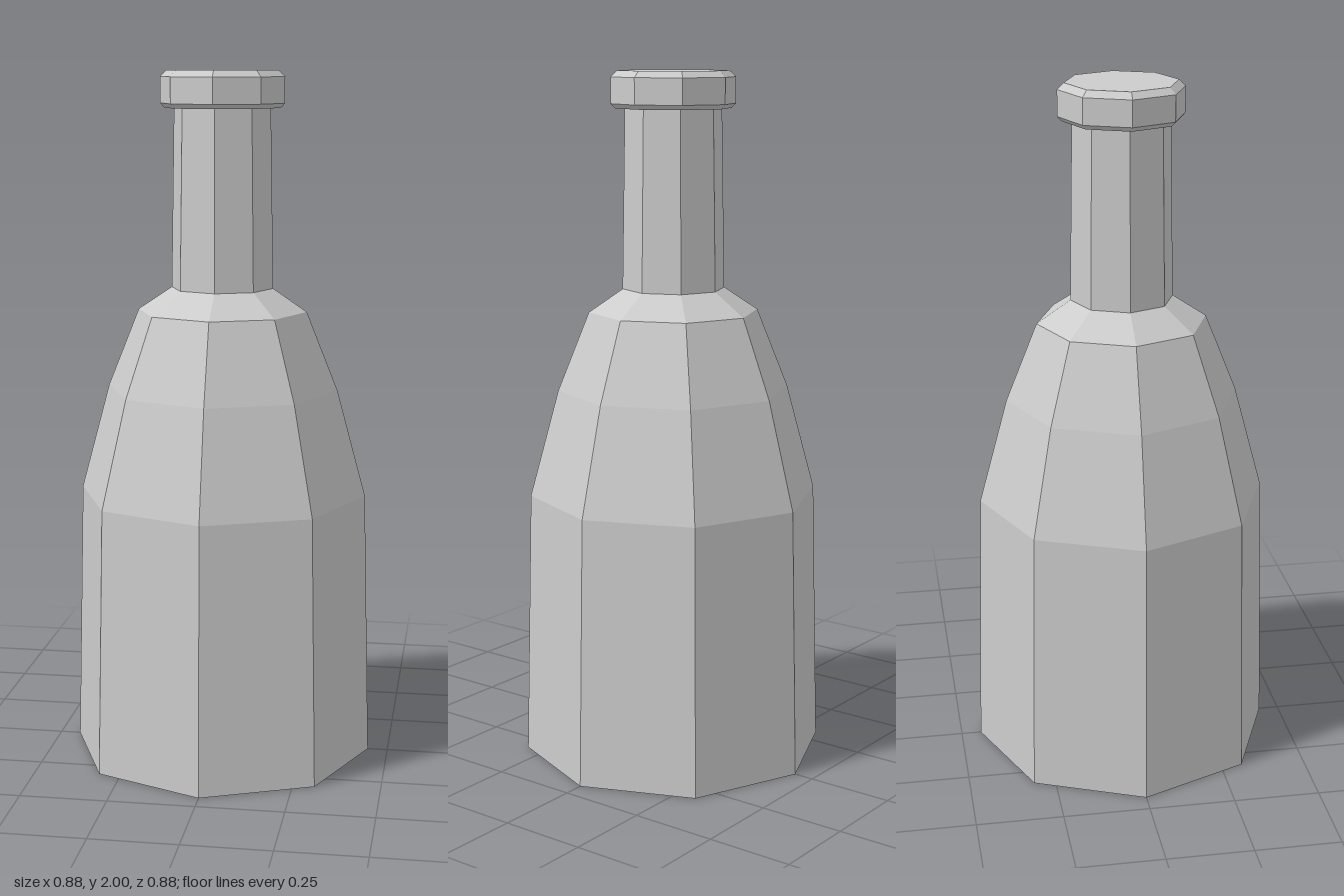
import * as THREE from 'three';

const SIDES = 8;

export function createModel() {
  const model = new THREE.Group();
  model.name = 'bottle';
  const material = new THREE.MeshStandardMaterial({ color: 0xcccccc, flatShading: true });

  // Faceted solid turned from [radius, height] pairs, listed bottom to top
  function addTurned(name, profile) {
    const points = profile.map(([r, y]) => new THREE.Vector2(r, y));
    const geometry = new THREE.LatheGeometry(points, SIDES).toNonIndexed();
    geometry.computeVertexNormals();
    const mesh = new THREE.Mesh(geometry, material);
    mesh.name = name;
    model.add(mesh);
  }

  // Closed base, tapering body, rounded shoulder
  addTurned('body', [
    [0, 0], [0.442, 0], [0.421, 0.78], [0.337, 1.09], [0.246, 1.317], [0.148, 1.383],
  ]);

  // Slim neck, running up to the lip
  addTurned('neck', [[0.148, 1.383], [0.139, 1.9]]);

  // Bevelled lip with a closed top
  addTurned('lip', [
    [0.135, 1.895], [0.167, 1.895], [0.179, 1.908], [0.179, 1.982], [0.16, 2], [0, 2],
  ]);

  return model;
}
